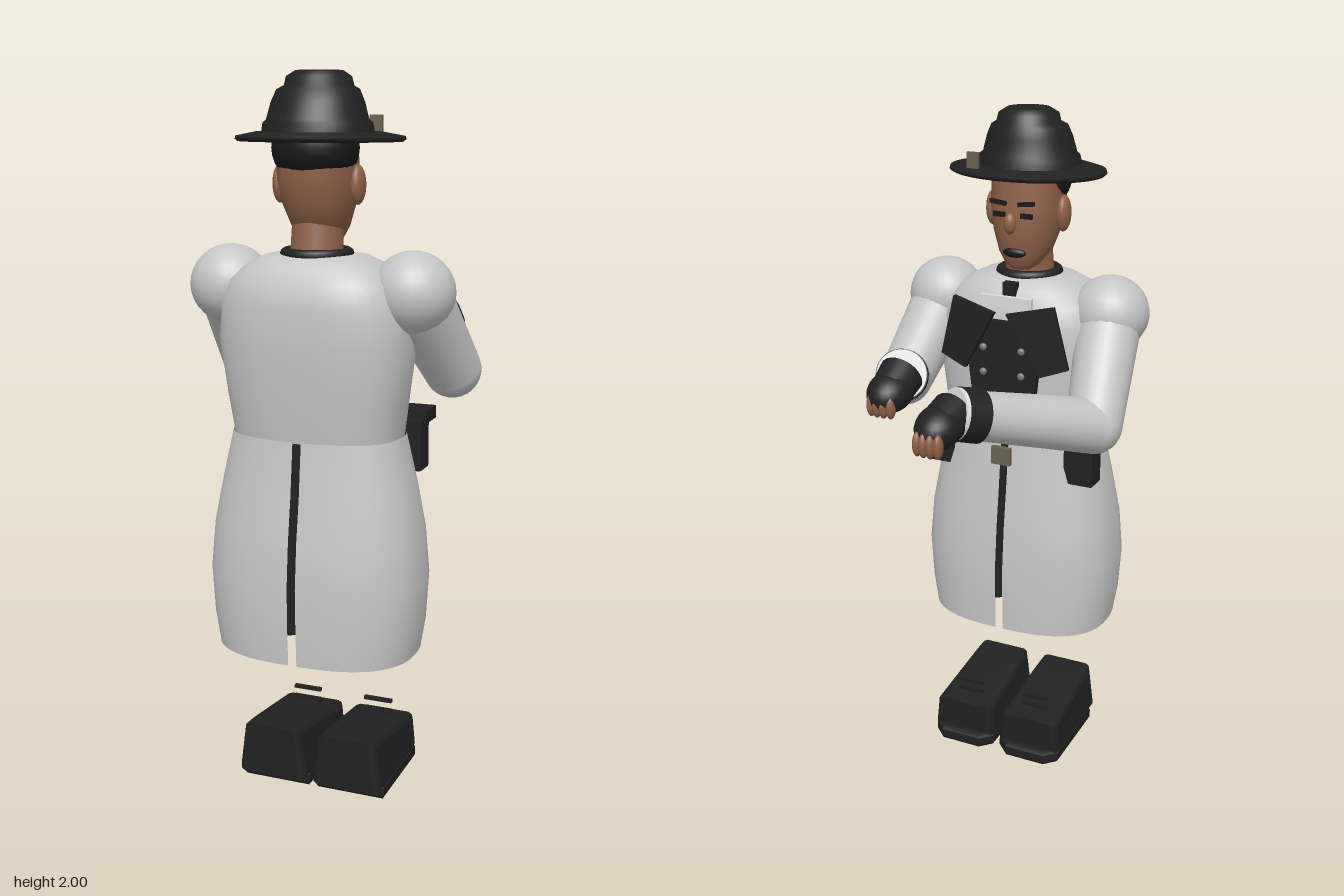
import * as THREE from 'three';

const mat = (name, color, side = THREE.FrontSide) => {
  const m = new THREE.MeshStandardMaterial({ color, side });
  m.name = name;
  return m;
};
const CX = -0.01; // body centre line
const V = (x, y, z) => new THREE.Vector3(x, y, z);

// Surface through rounded rings [y, halfWidth, zFront, zBack], from low to high.
// With arc set, only that angle range is built and the ends stay open.
function loft(rings, { n = 2, seg = 40, arc = null, gap = 0, side = 1 } = {}) {
  const pos = [], idx = [];
  const [a0, a1] = arc || [0, Math.PI * 2];
  const pw = (v) => Math.sign(v) * Math.pow(Math.abs(v), 2 / n);
  const addRing = ([y, hw, zf, zb]) => {
    const start = pos.length / 3;
    for (let i = 0; i < (arc ? seg + 1 : seg); i++) {
      const a = a0 + (a1 - a0) * i / seg;
      const x = arc ? gap + (hw - gap) * pw(Math.max(0, Math.cos(a))) : hw * pw(Math.cos(a));
      pos.push(CX + side * x, y, (zf + zb) / 2 + (zb - zf) / 2 * pw(Math.sin(a)));
    }
    return start;
  };
  const starts = rings.map(addRing);
  for (let j = 0; j + 1 < starts.length; j++) {
    for (let i = 0; i < seg; i++) {
      const k = arc ? i + 1 : (i + 1) % seg;
      const p = starts[j] + i, q = starts[j] + k, r = starts[j + 1] + i, s = starts[j + 1] + k;
      if (side > 0) idx.push(p, r, q, q, r, s);
      else idx.push(p, q, r, q, s, r);
    }
  }
  if (!arc) {
    [rings[0], rings[rings.length - 1]].forEach((ring, top) => {
      const s = addRing(ring), c = pos.length / 3;
      pos.push(CX, ring[0], (ring[2] + ring[3]) / 2);
      for (let i = 0; i < seg; i++) {
        const k = (i + 1) % seg;
        if (top) idx.push(c, s + k, s + i);
        else idx.push(c, s + i, s + k);
      }
    });
  }
  const g = new THREE.BufferGeometry();
  g.setAttribute('position', new THREE.Float32BufferAttribute(pos, 3));
  g.setIndex(idx);
  g.computeVertexNormals();
  return g;
}

function polygon(points, depth) {
  const s = new THREE.Shape(points.map(([x, y]) => new THREE.Vector2(x, y)));
  return new THREE.ExtrudeGeometry(s, { depth, bevelEnabled: false });
}

export function createModel() {
  const root = new THREE.Group();
  const coat = mat('coat grey', 0xc6c6c6, THREE.DoubleSide);
  const white = mat('trim white', 0xdedede);
  const black = mat('black cloth', 0x212121);
  const skin = mat('skin', 0x8f6249);
  const hairMat = mat('hair', 0x181818);
  const brass = mat('dull brass', 0x6b6350);
  const steel = mat('button grey', 0x777777);

  const add = (name, geo, m, x = 0, y = 0, z = 0) => {
    const mesh = new THREE.Mesh(geo, m);
    mesh.name = name;
    mesh.position.set(x, y, z);
    root.add(mesh);
    return mesh;
  };
  const box = (name, w, h, d, m, x, y, z) => add(name, new THREE.BoxGeometry(w, h, d), m, x, y, z);
  const ball = (name, r, m, x, y, z) => {
    const b = add(name, new THREE.SphereGeometry(1, 24, 16), m, x, y, z);
    b.scale.set(...r);
    return b;
  };
  // Tapered tube from point a to point b
  const limb = (name, a, b, r0, r1, m) => {
    const d = b.clone().sub(a), mid = a.clone().add(b).multiplyScalar(0.5);
    const mesh = add(name, new THREE.CylinderGeometry(r1, r0, d.length(), 24), m, mid.x, mid.y, mid.z);
    mesh.quaternion.setFromUnitVectors(V(0, 1, 0), d.normalize());
    return mesh;
  };

  // Coat body and split skirt
  add('coatBody', loft([
    [1.04, 0.235, 0.11, 0.42], [1.15, 0.25, 0.108, 0.435], [1.3, 0.27, 0.1, 0.447],
    [1.4, 0.26, 0.102, 0.445], [1.46, 0.235, 0.115, 0.435], [1.5, 0.19, 0.14, 0.405],
    [1.525, 0.14, 0.17, 0.375], [1.53, 0.09, 0.19, 0.35]], { n: 2.6 }), coat);
  for (const side of [1, -1]) {
    add('coatSkirt', loft([
      [0.43, 0.285, 0.07, 0.47], [0.52, 0.3, 0.067, 0.474], [0.65, 0.308, 0.065, 0.475],
      [0.78, 0.297, 0.075, 0.462], [0.9, 0.274, 0.09, 0.442], [1.045, 0.24, 0.105, 0.425]],
    { n: 2.5, arc: [-Math.PI / 2, Math.PI / 2], gap: 0.012, side }), coat);
    add('trouserLeg', new THREE.CylinderGeometry(0.09, 0.085, 0.54, 24), black, CX + side * 0.11, 0.73, 0.27);
  }
  box('hips', 0.3, 0.18, 0.18, black, CX, 0.93, 0.27);

  // Waistcoat panel, lapels, buttons, chest strip and tie
  add('waistcoat', polygon([[-0.09, 1.13], [0, 1.1], [0.09, 1.13], [0.125, 1.42], [-0.125, 1.42]], 0.03),
    black, CX, 0, 0.085);
  for (const side of [1, -1]) {
    const pts = [[0.02, 1.45], [0.12, 1.27], [0.205, 1.3], [0.16, 1.48]].map(([x, y]) => [side * x, y]);
    const lapel = add('lapel', polygon(pts, 0.015), black, CX, 0, 0.058);
    lapel.rotation.y = -side * 0.17;
    for (const y of [1.19, 1.265, 1.34]) ball('button', [0.011, 0.011, 0.008], steel, CX + side * 0.06, y, 0.082);
  }
  box('chestStrip', 0.16, 0.03, 0.015, white, CX, 1.475, 0.11);
  box('tie', 0.04, 0.06, 0.025, black, CX, 1.495, 0.14);
  const collar = add('collar', new THREE.TorusGeometry(0.083, 0.016, 10, 32), black, CX, 1.53, 0.275);
  collar.rotation.x = Math.PI / 2;

  // Belt buckle and pouches
  box('buckle', 0.06, 0.055, 0.015, brass, CX, 1.01, 0.08);
  for (const side of [1, -1]) {
    box('pouch', 0.09, 0.14, 0.07, black, CX + side * 0.225, 1.005, 0.165);
    box('pouchFlap', 0.1, 0.035, 0.09, black, CX + side * 0.225, 1.08, 0.125);
  }

  // Arms: shoulder, elbow, cuff, glove and finger positions
  const arms = [
    { s: V(0.255, 1.435, 0.26), e: V(0.312, 1.205, 0.085), w: V(0.197, 1.3, -0.14), h: V(0.18, 1.285, -0.235), f: V(0.18, 1.26, -0.297) },
    { s: V(-0.272, 1.435, 0.26), e: V(-0.312, 1.165, 0.05), w: V(-0.08, 1.275, -0.29), h: V(-0.048, 1.27, -0.385), f: V(-0.048, 1.24, -0.458) },
  ];
  for (const { s, e, w, h, f } of arms) {
    ball('shoulderCap', [0.113, 0.11, 0.113], coat, s.x, s.y, s.z);
    limb('upperArm', s, e, 0.095, 0.08, coat);
    ball('elbow', [0.08, 0.08, 0.08], coat, e.x, e.y, e.z);
    limb('forearm', e, w, 0.08, 0.066, coat);
    const dir = w.clone().sub(e).normalize();
    const at = (d) => w.clone().addScaledVector(dir, d);
    limb('cuff', at(-0.035), at(0.03), 0.075, 0.073, black);
    limb('cuffBand', at(0.03), at(0.042), 0.071, 0.07, white);
    limb('gloveWrist', at(0.042), h, 0.064, 0.058, black);
    const glove = ball('glove', [0.064, 0.056, 0.08], black, h.x, h.y, h.z);
    glove.rotation.x = -0.2;
    for (let i = 0; i < 4; i++) {
      const o = (i - 1.5) * 0.02;
      ball('finger', [0.013, 0.034, 0.018], skin, f.x + o, f.y, f.z + Math.abs(o) * 0.2);
    }
  }

  // Neck, head and face
  limb('neck', V(CX, 1.5, 0.28), V(CX, 1.64, 0.265), 0.072, 0.068, skin);
  add('head', loft([
    [1.55, 0.03, 0.19, 0.25], [1.565, 0.052, 0.175, 0.285], [1.6, 0.075, 0.162, 0.33],
    [1.66, 0.095, 0.152, 0.36], [1.73, 0.106, 0.15, 0.375], [1.83, 0.105, 0.16, 0.375]], { n: 2.2 }), skin);
  ball('hair', [0.117, 0.105, 0.11], hairMat, CX, 1.805, 0.282);
  for (const side of [1, -1]) {
    ball('ear', [0.02, 0.052, 0.033], skin, CX + side * 0.11, 1.71, 0.26);
    box('eye', 0.036, 0.014, 0.008, hairMat, CX + side * 0.042, 1.715, 0.15);
    const brow = box('eyebrow', 0.05, 0.012, 0.009, hairMat, CX + side * 0.043, 1.75, 0.145);
    brow.rotation.z = side * 0.12;
  }
  ball('nose', [0.018, 0.03, 0.017], skin, CX, 1.695, 0.13);
  ball('mouth', [0.036, 0.014, 0.012], hairMat, CX, 1.605, 0.163);

  // Hat with brim, crown and badge
  add('hatBrim', loft([[1.82, 0.225, 0.085, 0.42], [1.826, 0.232, 0.07, 0.433], [1.834, 0.23, 0.073, 0.43],
    [1.845, 0.17, 0.11, 0.41]], { seg: 48 }), black);
  add('hatCrown', loft([
    [1.83, 0.153, 0.125, 0.405], [1.868, 0.146, 0.13, 0.4], [1.876, 0.136, 0.14, 0.393],
    [1.92, 0.124, 0.148, 0.38], [1.952, 0.11, 0.157, 0.365], [1.962, 0.092, 0.165, 0.345],
    [1.985, 0.086, 0.17, 0.34], [2.0, 0.062, 0.19, 0.315]]), black);
  box('hatBadge', 0.036, 0.045, 0.009, brass, 0.1, 1.865, 0.122);

  // Shoes: bevelled side profile narrowed toward the top, sole and laces
  const profile = new THREE.Shape([[0.06, 0.05], [0.355, 0.05], [0.355, 0.168], [0.31, 0.164], [0.06, 0.125]]
    .map(([z, y]) => new THREE.Vector2(z, y)));
  const upper = new THREE.ExtrudeGeometry(profile, { depth: 0.17, bevelSize: 0.016, bevelThickness: 0.018, bevelSegments: 2 });
  upper.translate(0, 0, -0.085).rotateY(-Math.PI / 2);
  const p = upper.attributes.position;
  for (let i = 0; i < p.count; i++) p.setX(i, p.getX(i) * (1 - Math.max(0, p.getY(i) - 0.09) * 2));
  upper.computeVertexNormals();
  const soleShape = new THREE.Shape([[-0.06, 0.03], [0.06, 0.03], [0.09, 0.06], [0.09, 0.32], [-0.09, 0.32], [-0.09, 0.06]]
    .map(([x, z]) => new THREE.Vector2(x, z)));
  const sole = new THREE.ExtrudeGeometry(soleShape, { depth: 0.025, bevelSize: 0.012, bevelThickness: 0.01, bevelSegments: 2 });
  sole.rotateX(Math.PI / 2).translate(0, 0.035, 0);
  for (const side of [1, -1]) {
    const x = CX + side * 0.113;
    add('shoeUpper', upper, black, x);
    add('shoeSole', sole, black, x);
    for (const y of [0.16, 0.192]) box('lace', 0.085, 0.01, 0.012, black, x, y, 0.1);
  }
  return root;
}
